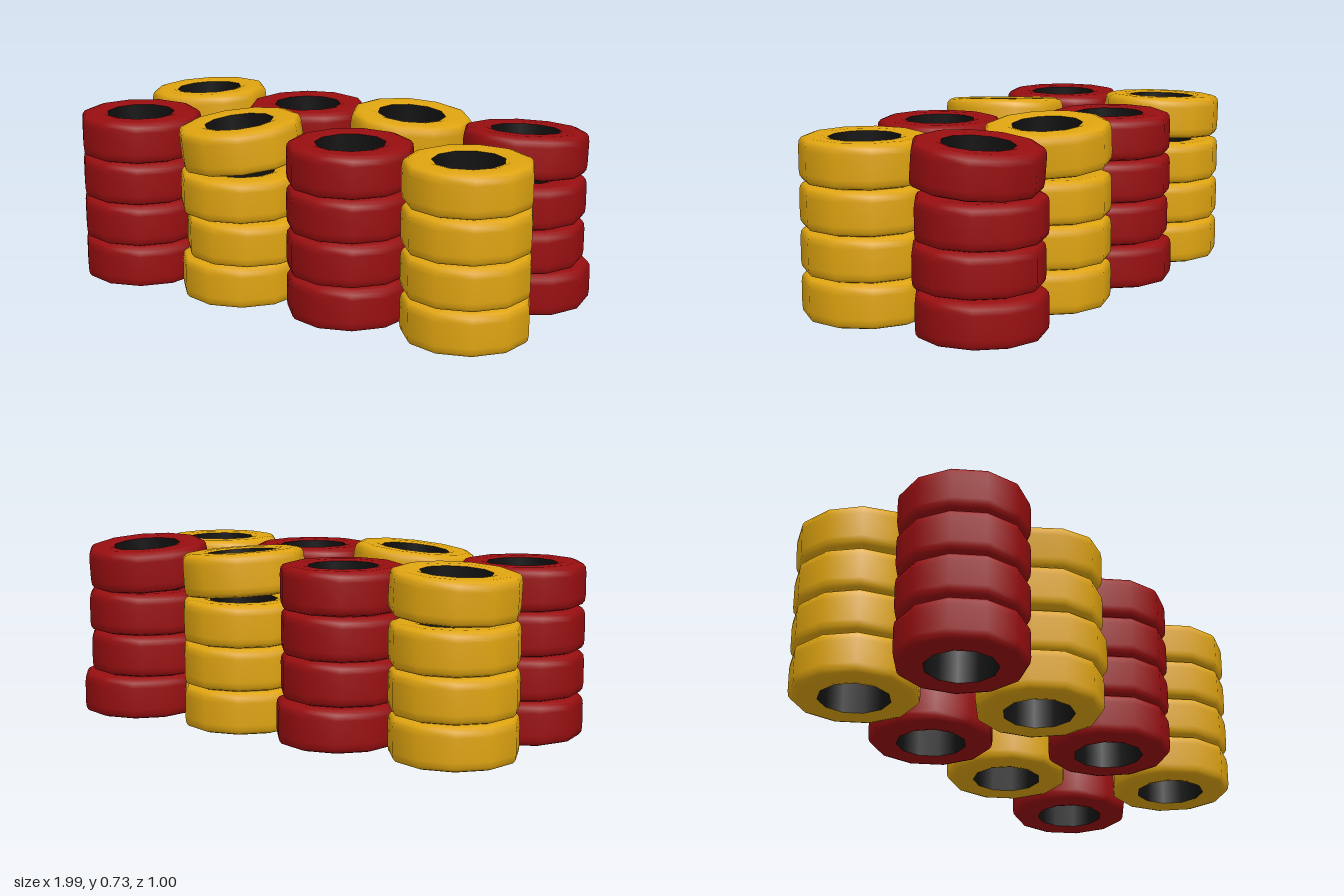
import * as THREE from 'three';

const SIDES = 11;
const PITCH = 0.171;   // height of one layer
const FIRST_Y = 0.086; // centre height of the lowest layer

const mat = (name, color) => {
  const m = new THREE.MeshStandardMaterial({ color });
  m.name = name;
  return m;
};

const lathe = (pts) =>
  new THREE.LatheGeometry(pts.map(([r, y]) => new THREE.Vector2(r, y)), SIDES);

export function createModel() {
  const model = new THREE.Group();
  model.name = 'tyreBarrier';

  const yellow = mat('yellow paint', 0xdfa410);
  const red = mat('red paint', 0x980e10);
  const black = mat('black rubber', 0x101010);

  // Painted outside: under side, rounded shoulders, tread, top side
  const half = [[0.137, 0.079], [0.16, 0.085], [0.213, 0.085], [0.234, 0.078], [0.243, 0.066], [0.246, 0.045]];
  const shell = lathe([
    ...half.map(([r, y]) => [r, -y]),
    ...half.slice().reverse(),
  ]);
  // Unpainted inner wall, facing the axis
  const bore = lathe([[0.137, 0.079], [0.137, -0.079]]);

  // One tyre; tilt = [x, z] slope of its top, rising towards +x and +z
  function addTyre(stack, paint, x, y, z, turn, tilt) {
    const tyre = new THREE.Group();
    tyre.name = 'tyre';
    const outside = new THREE.Mesh(shell, paint);
    outside.name = 'paintedTyre';
    const inside = new THREE.Mesh(bore, black);
    inside.name = 'innerWall';
    tyre.add(outside, inside);
    const up = new THREE.Vector3(-tilt[0], 1, -tilt[1]).normalize();
    tyre.quaternion.setFromUnitVectors(new THREE.Vector3(0, 1, 0), up);
    outside.rotation.y = inside.rotation.y = turn;
    tyre.position.set(x, y, z);
    stack.add(tyre);
  }

  // Stacks: centre of each layer from the ground up, slope and lift of the top tyre
  const same = (x, z) => Array(4).fill([x, z]);
  const stacks = [
    { name: 'frontStack1', paint: red, layers: same(-0.752, 0.252) },
    {
      name: 'frontStack2', paint: yellow, tilt: [0.095, -0.055], lift: 0.02,
      layers: [[-0.256, 0.252], [-0.228, 0.252], [-0.256, 0.252], [-0.256, 0.252]],
    },
    { name: 'frontStack3', paint: red, layers: same(0.242, 0.252) },
    { name: 'frontStack4', paint: yellow, layers: same(0.742, 0.252) },
    { name: 'backStack1', paint: yellow, back: true, tilt: [0.052, 0], lift: 0.014, layers: same(-0.75, -0.232) },
    {
      name: 'backStack2', paint: red, back: true,
      layers: [[-0.25, -0.256], [-0.256, -0.235], [-0.262, -0.24], [-0.257, -0.24]],
    },
    { name: 'backStack3', paint: yellow, back: true, tilt: [-0.08, 0], lift: 0.018, layers: same(0.234, -0.232) },
    {
      name: 'backStack4', paint: red, back: true, tilt: [0, 0.085], lift: 0.014,
      layers: [[0.755, -0.257], [0.735, -0.232], [0.732, -0.243], [0.738, -0.232]],
    },
  ];

  for (const { name, paint, back, layers, tilt = [0, 0], lift = 0 } of stacks) {
    const stack = new THREE.Group();
    stack.name = name;
    layers.forEach(([x, z], i) => {
      const top = i === 3;
      addTyre(stack, paint, x, FIRST_Y + PITCH * i + (top ? lift : 0), z,
        back ? Math.PI : 0, top ? tilt : [0, 0]);
    });
    model.add(stack);
  }
  return model;
}
